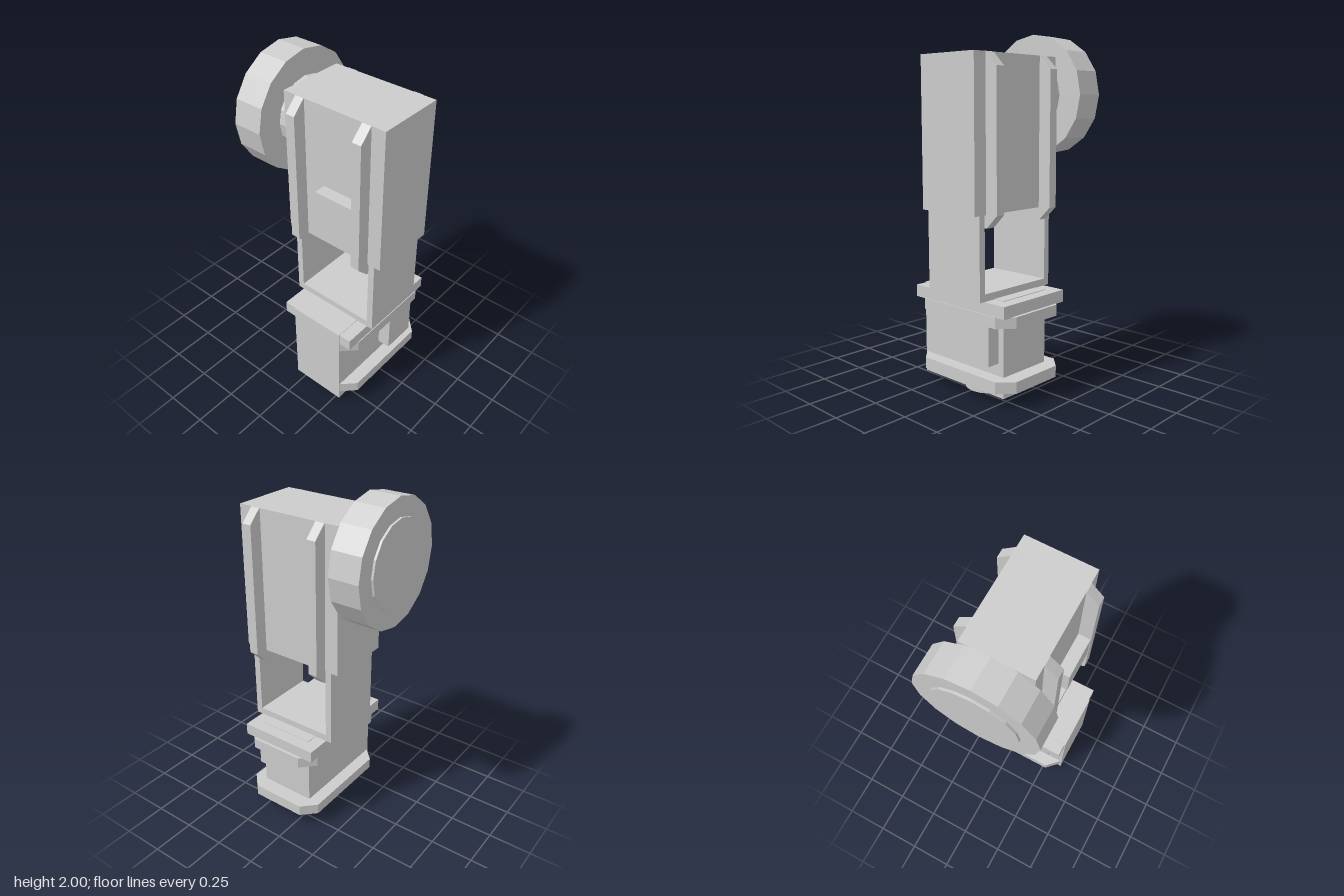
import * as THREE from 'three';

const material = new THREE.MeshStandardMaterial({ color: 0xcccccc, flatShading: true });

export function createModel() {
  const group = new THREE.Group();

  const add = (name, geometry) => {
    const mesh = new THREE.Mesh(geometry, material);
    mesh.name = name;
    group.add(mesh);
    return mesh;
  };

  // Box given by its extents on each axis
  const box = (name, [x0, x1], [y0, y1], [z0, z1]) =>
    add(name, new THREE.BoxGeometry(x1 - x0, y1 - y0, z1 - z0))
      .position.set((x0 + x1) / 2, (y0 + y1) / 2, (z0 + z1) / 2);

  // Plate with four chamfered corners, extruded along +z
  const chamferedPlate = (a0, a1, b0, b1, cut, depth) => {
    const points = [
      [a0 + cut, b0], [a1 - cut, b0], [a1, b0 + cut], [a1, b1 - cut],
      [a1 - cut, b1], [a0 + cut, b1], [a0, b1 - cut], [a0, b0 + cut],
    ].map(([a, b]) => new THREE.Vector2(a, b));
    return new THREE.ExtrudeGeometry(new THREE.Shape(points), { depth, bevelEnabled: false });
  };

  // Disc with its axis along z
  const discZ = (name, radius, z0, z1) => {
    const geometry = new THREE.CylinderGeometry(radius, radius, z1 - z0, 16);
    geometry.rotateX(Math.PI / 2);
    add(name, geometry).position.set(0, 1.655, (z0 + z1) / 2);
  };

  // Base block with foot disc, top plate, two collars and a front panel
  add('footDisc', new THREE.CylinderGeometry(0.145, 0.145, 0.035, 16)).position.set(0.013, 0.0175, 0.13);
  box('baseBlock', [-0.36, 0.268], [0.03, 0.572], [-0.048, 0.29]);
  box('topPlate', [-0.353, 0.34], [0.5, 0.569], [-0.123, 0.362]);
  for (const [name, y0, y1] of [['lowerCollar', 0.085, 0.15], ['upperCollar', 0.44, 0.503]]) {
    const geometry = chamferedPlate(-0.358, 0.358, -0.367, 0.122, 0.08, y1 - y0);
    geometry.rotateX(-Math.PI / 2);
    add(name, geometry).position.y = y0;
  }
  box('frontPanel', [0.02, 0.23], [0.22, 0.45], [0.28, 0.367]);

  // U-shaped bracket
  const u = new THREE.Shape([
    [-0.16, 0.57], [0.398, 0.57], [0.398, 1.04], [0.36, 1.04],
    [0.36, 0.61], [-0.122, 0.61], [-0.122, 1.04], [-0.16, 1.04],
  ].map(([z, y]) => new THREE.Vector2(-z, y)));
  const bracket = new THREE.ExtrudeGeometry(u, { depth: 0.4, bevelEnabled: false });
  bracket.rotateY(Math.PI / 2);
  add('bracket', bracket).position.x = -0.2;

  // Upper housing with two chamfered rib plates and a side block
  box('housing', [-0.2, 0.203], [1.03, 1.862], [-0.203, 0.435]);
  for (const z of [-0.122, 0.298]) {
    add('ribPlate', chamferedPlate(-0.275, 0.28, 0.96, 1.862, 0.073, 0.055)).position.z = z;
  }
  box('sideBlock', [-0.272, -0.19], [1.21, 1.4], [0.055, 0.3]);

  // Rear wheel on a short hub
  discZ('hub', 0.2, -0.25, -0.2);
  discZ('wheel', 0.346, -0.423, -0.245);
  discZ('wheelCap', 0.242, -0.436, -0.42);

  return group;
}
